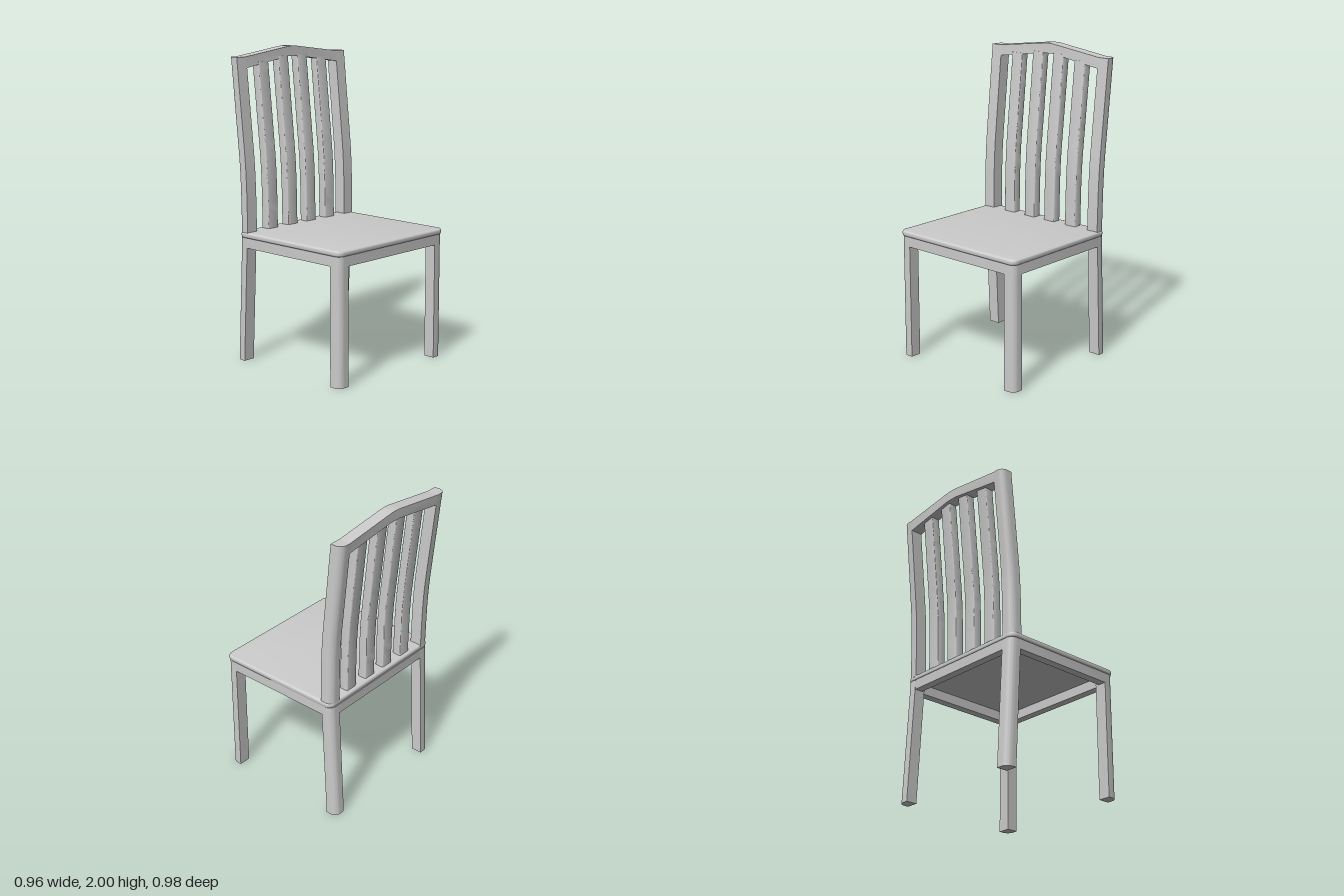
import * as THREE from 'three';
import { toCreasedNormals } from 'three/addons/utils/BufferGeometryUtils.js';

const material = new THREE.MeshStandardMaterial({ color: 0xcccccc });

// Rectangle with one radius per corner: (x0,y0), (x1,y0), (x1,y1), (x0,y1)
function roundedRect(x0, y0, x1, y1, [a, b, c, d]) {
  const s = new THREE.Shape();
  s.moveTo(x0 + a, y0);
  s.lineTo(x1 - b, y0);
  if (b) s.absarc(x1 - b, y0 + b, b, -Math.PI / 2, 0);
  s.lineTo(x1, y1 - c);
  if (c) s.absarc(x1 - c, y1 - c, c, 0, Math.PI / 2);
  s.lineTo(x0 + d, y1);
  if (d) s.absarc(x0 + d, y1 - d, d, Math.PI / 2, Math.PI);
  s.lineTo(x0, y0 + a);
  if (a) s.absarc(x0 + a, y0 + a, a, Math.PI, Math.PI * 1.5);
  return s;
}

// Backward lean of the chair back at a given height
const leanPoints = [[0.85, 0], [1.1, -0.004], [1.2, -0.008], [1.27, -0.012], [1.34, -0.018], [1.42, -0.026], [1.95, -0.08]];
function lean(y) {
  if (y <= 0.85) return 0;
  for (let i = 1; i < leanPoints.length; i++) {
    const [y0, x0] = leanPoints[i - 1], [y1, x1] = leanPoints[i];
    if (y <= y1) return x0 + (x1 - x0) * (y - y0) / (y1 - y0);
  }
  return -0.08;
}

// Upright of constant section, shifted in x by a rule of height
function upright(shape, y0, y1, steps, shift) {
  const g = new THREE.ExtrudeGeometry(shape, { depth: y1 - y0, steps, bevelEnabled: false, curveSegments: 5 });
  g.rotateX(-Math.PI / 2).translate(0, y0, 0);
  const p = g.attributes.position;
  for (let i = 0; i < p.count; i++) p.setX(i, p.getX(i) + shift(p.getY(i)));
  return toCreasedNormals(g, 0.5);
}

export function createModel() {
  const chair = new THREE.Group();
  chair.name = 'chair';
  const add = (name, geometry) => {
    const mesh = new THREE.Mesh(geometry, material);
    mesh.name = name;
    chair.add(mesh);
  };
  const R = 0.045;

  // Seat board with softened rim
  const bevel = 0.012;
  const seat = new THREE.ExtrudeGeometry(
    roundedRect(-0.4 + bevel, -0.49 + bevel, 0.48 - bevel, 0.49 - bevel, [0.035, 0.035, 0.035, 0.035]),
    { depth: 0.037 - 2 * bevel, bevelSize: bevel, bevelThickness: bevel, bevelSegments: 3, curveSegments: 5 });
  seat.rotateX(-Math.PI / 2).translate(0, 0.813 + bevel, 0);
  add('seat', toCreasedNormals(seat, 0.6));

  // Apron ring under the seat
  const apron = roundedRect(-0.4, -0.485, 0.475, 0.485, [R, R, R, R]);
  apron.holes.push(new THREE.Path([[-0.345, -0.43], [-0.345, 0.43], [0.42, 0.43], [0.42, -0.43]].map(([x, y]) => new THREE.Vector2(x, y))));
  add('apron', upright(apron, 0.75, 0.815, 1, () => 0));

  for (const side of [1, -1]) {
    const label = side > 0 ? 'Far' : 'Near';
    // Shape y becomes -z, so the outer corner swaps with the side
    const [z0, z1] = side > 0 ? [0.405, 0.485] : [-0.485, -0.405];
    const frontCorner = side > 0 ? [0, 0, R, 0] : [0, R, 0, 0];
    const backCorner = side > 0 ? [0, 0, 0, R] : [R, 0, 0, 0];

    // Legs, the rear pair splayed backward
    add('frontLeg' + label, upright(roundedRect(0.4, z0, 0.475, z1, frontCorner), 0, 0.76, 1, () => 0));
    add('rearLeg' + label, upright(roundedRect(-0.4, z0, -0.325, z1, backCorner), 0, 0.814, 1, y => -0.04 * (1 - y / 0.814)));

    // Back posts
    add('backPost' + label, upright(roundedRect(-0.4, z0, -0.32, z1, backCorner), 0.84, 1.95, 24, lean));

    // Slats
    for (const z of [0.085, 0.262]) {
      const r = 0.007;
      const slat = roundedRect(-0.378, side * z - 0.043, -0.318, side * z + 0.043, [r, r, r, r]);
      add('slat' + label, upright(slat, 0.84, z < 0.1 ? 1.94 : 1.915, 24, lean));
    }
  }

  // Crest rail, arched between the posts and leaning with them
  const outline = [[-0.41, 1.88], [-0.04, 1.935], [0.04, 1.935], [0.41, 1.88],
    [0.41, 1.95], [0.05, 1.997], [0.025, 2], [-0.025, 2], [-0.05, 1.997], [-0.41, 1.95]];
  const rail = new THREE.ExtrudeGeometry(new THREE.Shape(outline.map(([z, y]) => new THREE.Vector2(z, y))), { depth: 0.08, bevelEnabled: false });
  rail.rotateY(-Math.PI / 2).translate(-0.32, 0, 0);
  const p = rail.attributes.position;
  for (let i = 0; i < p.count; i++) p.setX(i, p.getX(i) + lean(p.getY(i)));
  add('crestRail', toCreasedNormals(rail, 0.3));

  return chair;
}
